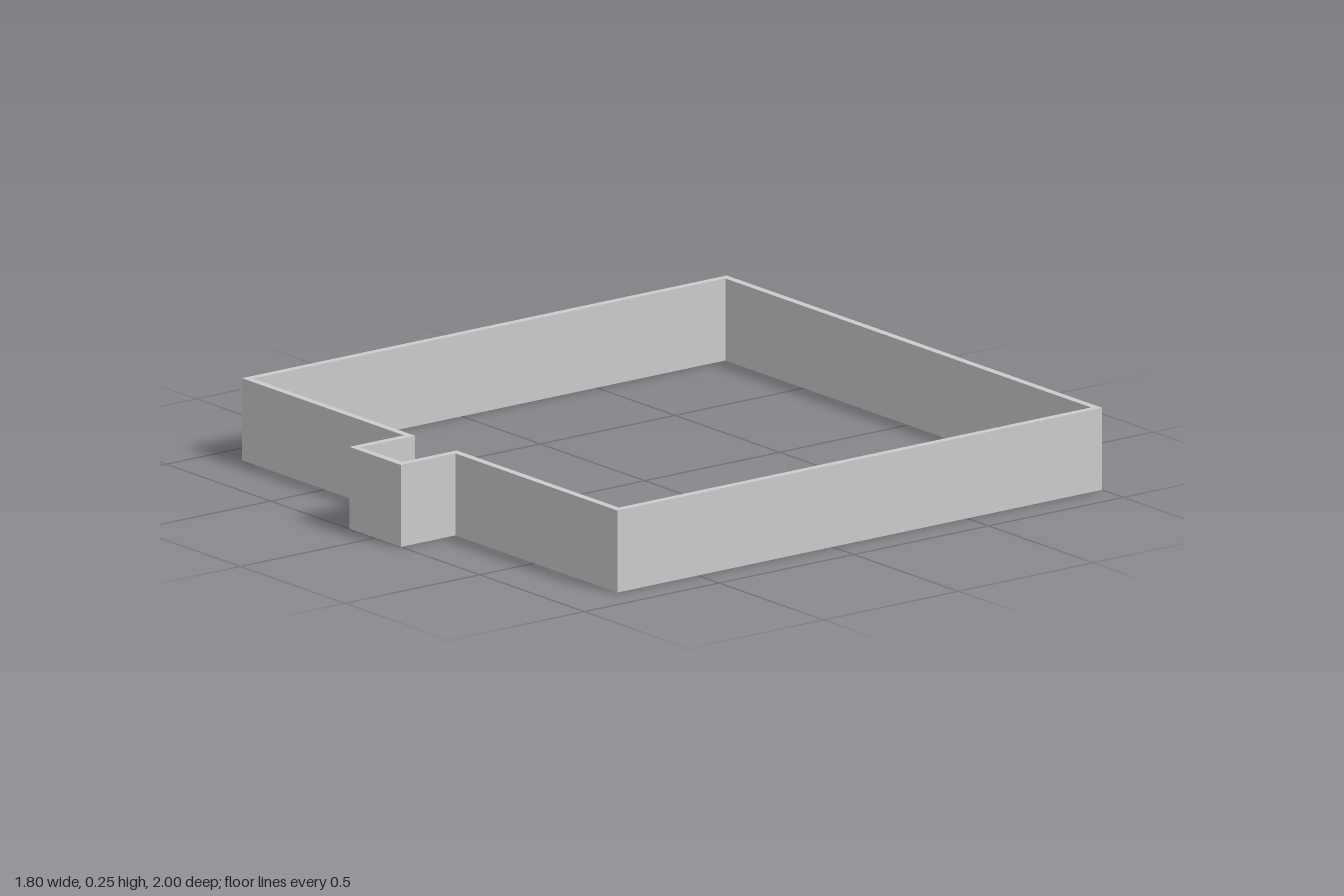
import * as THREE from 'three';

const HEIGHT = 0.25;
const WALL = 0.023;

// Plan outline: a square with a small tab centred on the front side, inset by t
function outline(t) {
  const side = 0.898 - t, back = -1 + t, front = 0.798 - t;
  const tab = 0.123 - t, tip = 1 - t;
  const half = [[tab, tip], [tab, front], [side, front], [side, back]];
  const mirrored = half.map(([x, z]) => [-x, z]).reverse();
  return [...half, ...mirrored].map(([x, z]) => new THREE.Vector2(x, -z));
}

export function createModel() {
  const group = new THREE.Group();
  group.name = 'outlineFrame';

  // Thin upright wall following the outline, open at top and bottom
  const plan = new THREE.Shape(outline(0));
  plan.holes.push(new THREE.Path(outline(WALL)));
  const geometry = new THREE.ExtrudeGeometry(plan, { depth: HEIGHT, bevelEnabled: false });
  geometry.rotateX(-Math.PI / 2);

  const wall = new THREE.Mesh(geometry, new THREE.MeshStandardMaterial({ color: 0xcccccc }));
  wall.name = 'wall';
  group.add(wall);
  return group;
}
